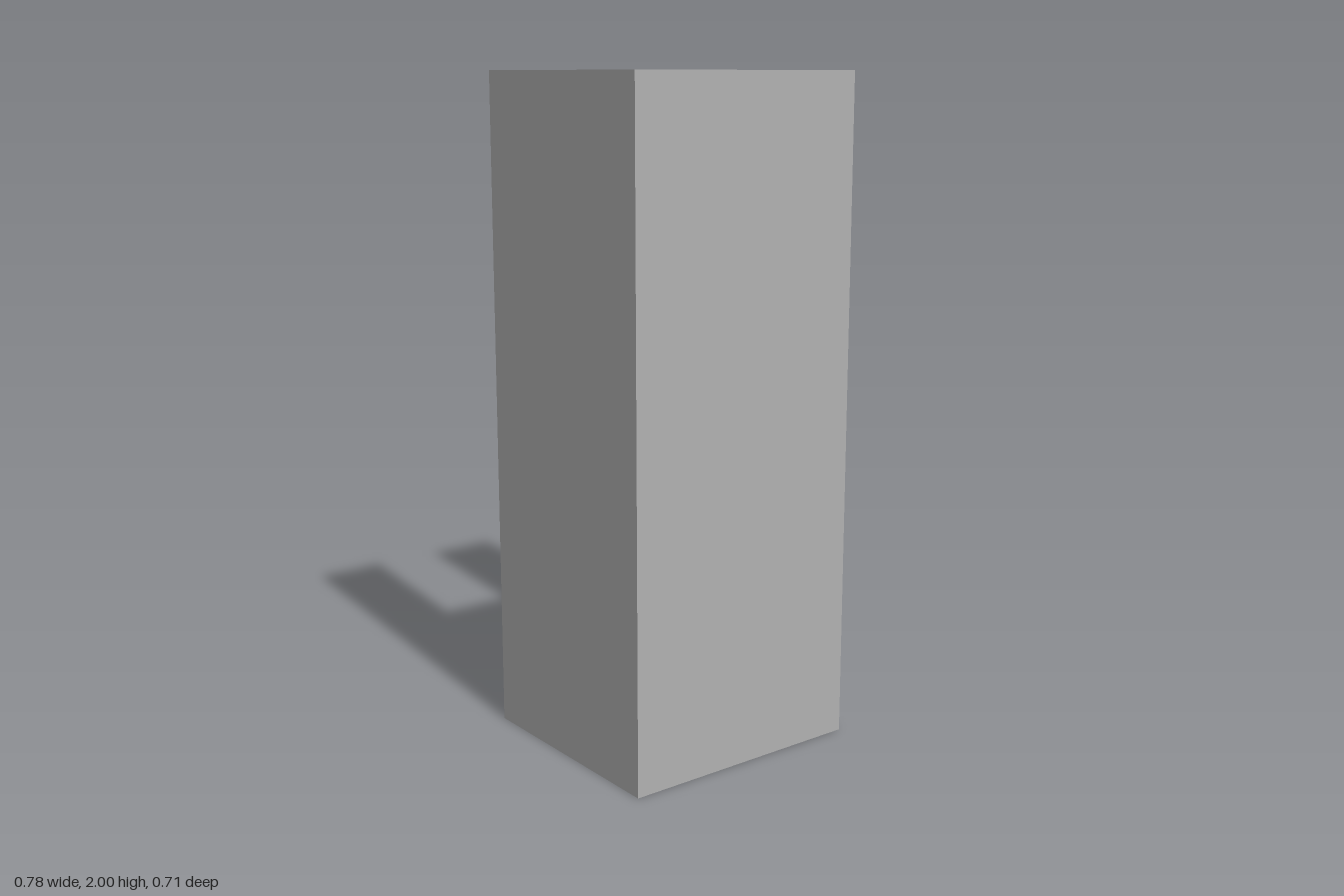
import * as THREE from 'three';
import { toCreasedNormals } from 'three/addons/utils/BufferGeometryUtils.js';

const W = 0.388, D = 0.355, H = 2, T = 0.026; // half width, half depth, height, wall
const R = 0.132; // radius of the round-ended cutouts
const SLOT_TOP = 0.065; // top of the dispensing slot above the floor

// Rectangle with a round-ended cutout running in from its top edge
function notchedPanel(halfWidth, bottom, top, arcCentre) {
  const s = new THREE.Shape();
  s.moveTo(-halfWidth, bottom);
  s.lineTo(halfWidth, bottom);
  s.lineTo(halfWidth, top);
  s.lineTo(R, top);
  s.lineTo(R, arcCentre);
  s.absarc(0, arcCentre, R, 0, -Math.PI, true);
  s.lineTo(-R, top);
  s.lineTo(-halfWidth, top);
  s.closePath();
  return s;
}

function extrude(shape, depth) {
  const g = new THREE.ExtrudeGeometry(shape, { depth, bevelEnabled: false, curveSegments: 14 });
  return toCreasedNormals(g, Math.PI / 6);
}

export function createModel() {
  const group = new THREE.Group();
  const grey = new THREE.MeshStandardMaterial({ color: 0xb2b2b2 });
  grey.name = 'grey plastic';

  const add = (name, geometry) => {
    const mesh = new THREE.Mesh(geometry, grey);
    mesh.name = name;
    group.add(mesh);
  };

  // Front and side walls: a U in plan, raised to full height
  const u = new THREE.Shape([
    [-W, -D], [W, -D], [W, D], [W - T, D], [W - T, -D + T],
    [-W + T, -D + T], [-W + T, D], [-W, D],
  ].map(([x, y]) => new THREE.Vector2(x, y)));
  add('frontAndSideWalls', extrude(u, H).rotateX(-Math.PI / 2));

  // Floor with a finger cutout open to the back
  add('floor', extrude(notchedPanel(W - T, -D + T, D, 0.137), T).rotateX(-Math.PI / 2));

  // Back wall with a tall viewing cutout, stopping short of the floor to leave a slot
  add('backWall', extrude(notchedPanel(W - T, SLOT_TOP, H, 0.787), T).translate(0, 0, -D));

  return group;
}
